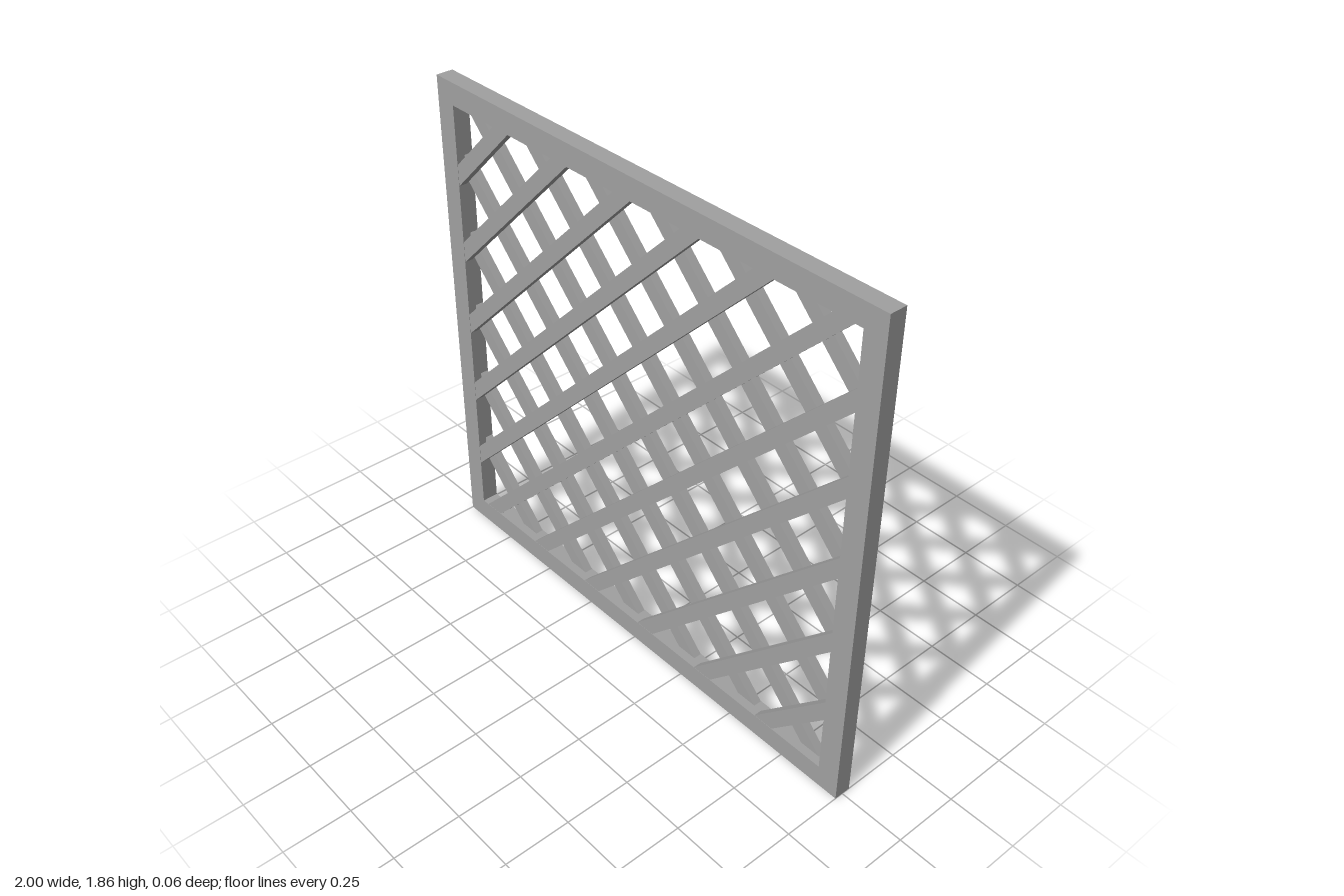
import * as THREE from 'three';

const W = 2, H = 1.86, D = 0.064;   // overall panel size
const RAIL = 0.083;                 // frame width
const SLAT = 0.057, STEP = 0.301;   // slat width and spacing

export function createModel() {
  const group = new THREE.Group();
  group.name = 'latticePanel';
  const grey = new THREE.MeshStandardMaterial({ color: 0xa0a0a0 });
  grey.name = 'grey';

  // Outer frame with a rectangular opening
  const ix = W / 2 - RAIL, iy = H / 2 - RAIL;
  const rect = (Type, x, y) => new Type([
    new THREE.Vector2(-x, -y), new THREE.Vector2(x, -y),
    new THREE.Vector2(x, y), new THREE.Vector2(-x, y),
  ]);
  const outline = rect(THREE.Shape, W / 2, H / 2);
  outline.holes.push(rect(THREE.Path, ix, iy));
  const frameGeo = new THREE.ExtrudeGeometry(outline, { depth: D, bevelEnabled: false });
  frameGeo.translate(0, H / 2, -D / 2);
  const frame = new THREE.Mesh(frameGeo, grey);
  frame.name = 'frame';
  group.add(frame);

  // Diagonal slats: one layer at the front, a mirrored layer behind it
  const depth = D / 2 - 0.001;
  for (const side of [1, -1]) {
    const layer = new THREE.Group();
    layer.name = side > 0 ? 'frontSlats' : 'backSlats';
    for (let k = -5; k <= 5; k++) {
      // line y = x + c, cut to the opening
      const c = k * STEP;
      const x0 = Math.max(-ix, -iy - c), x1 = Math.min(ix, iy - c);
      const mid = (x0 + x1) / 2;
      // ends are let into the frame
      const length = (x1 - x0) * Math.SQRT2 + SLAT * 1.1;
      const slat = new THREE.Mesh(new THREE.BoxGeometry(length, SLAT, depth), grey);
      slat.name = 'slat';
      slat.position.set(side * mid, H / 2 + mid + c, side * depth / 2);
      slat.rotation.z = side * Math.PI / 4;
      layer.add(slat);
    }
    group.add(layer);
  }
  return group;
}
